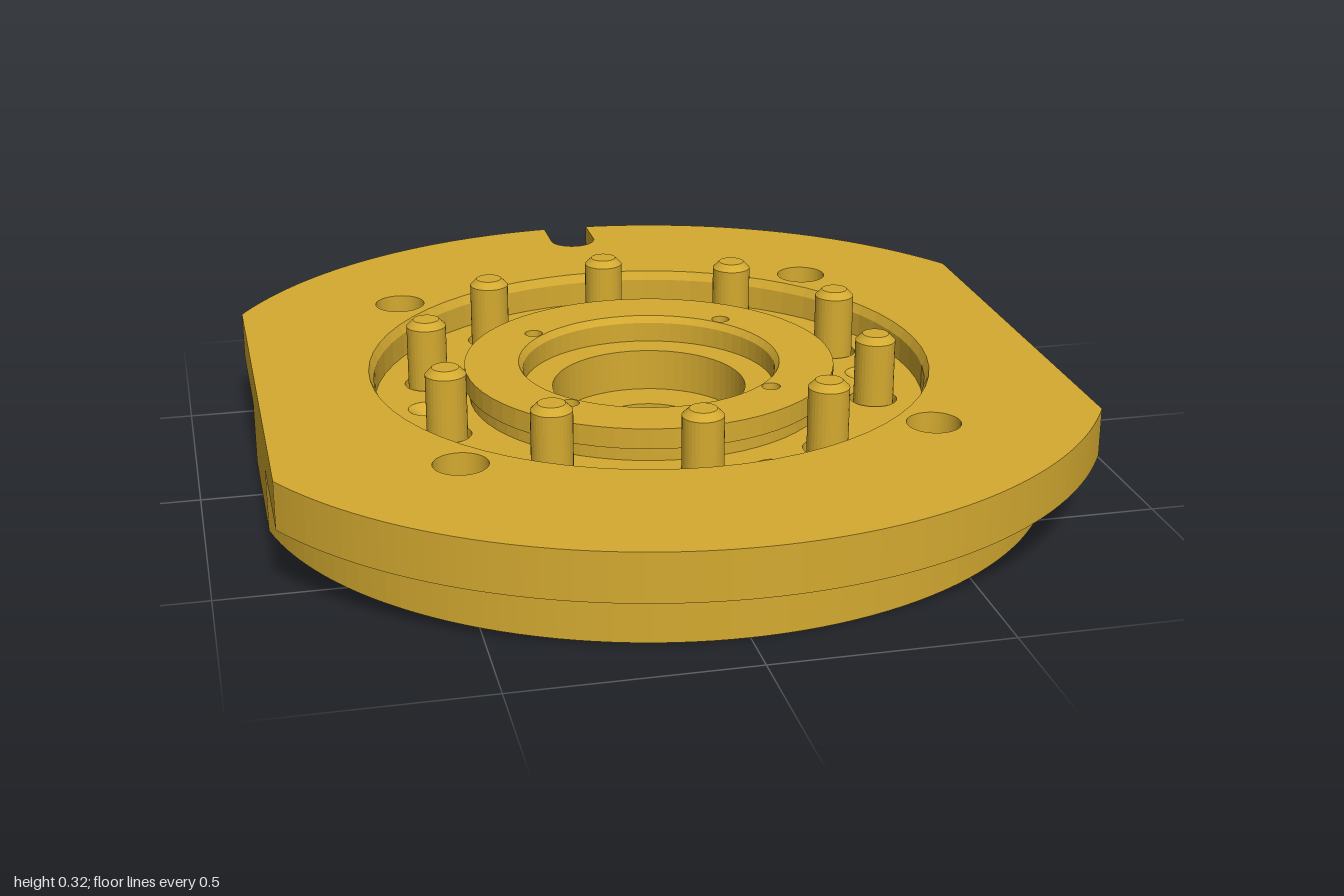
import * as THREE from 'three';

const brass = new THREE.MeshStandardMaterial({ color: 0xd4aa30 });
brass.name = 'brass';

const SLOT = { half: 0.055, centre: 0.895 };
const FLAT = 0.866;

// Disc outline with two side flats and a round-ended slot at the back
function outline(radius) {
  const s = new THREE.Shape();
  const flat = Math.acos(FLAT / radius);
  const edge = Math.asin(SLOT.half / radius);
  const rim = radius * Math.cos(edge);
  const dip = rim < SLOT.centre ? Math.asin((SLOT.centre - rim) / SLOT.half) : 0;
  s.absarc(0, 0, radius, flat, Math.PI / 2 - edge, false);
  s.absarc(0, SLOT.centre, SLOT.half, -dip, -Math.PI + dip, true);
  s.absarc(0, 0, radius, Math.PI / 2 + edge, Math.PI - flat, false);
  s.absarc(0, 0, radius, Math.PI + flat, 2 * Math.PI - flat, false);
  s.closePath();
  return s;
}

function disc(radius) {
  return new THREE.Shape().absarc(0, 0, radius, 0, Math.PI * 2, false);
}

// Holes are given as [x, z, radius]
function drill(shape, holes) {
  for (const [x, z, r] of holes) {
    shape.holes.push(new THREE.Path().absarc(x, -z, r, 0, Math.PI * 2, true));
  }
  return shape;
}

function slab(shape, y0, y1, curveSegments = 32) {
  const g = new THREE.ExtrudeGeometry(shape, { depth: y1 - y0, bevelEnabled: false, curveSegments });
  return g.rotateX(-Math.PI / 2).translate(0, y0, 0);
}

// Turned part with crisp edges; profile runs anticlockwise in (radius, y)
function turned(profile, segments = 64) {
  const pts = profile.map(([r, y]) => new THREE.Vector2(r, y));
  const g = new THREE.LatheGeometry(pts, segments).toNonIndexed();
  g.computeVertexNormals();
  return g;
}

export function createModel() {
  const model = new THREE.Group();
  const add = (name, geometry, parent = model) => {
    const m = new THREE.Mesh(geometry, brass);
    m.name = name;
    parent.add(m);
    return m;
  };

  // Hole patterns
  const mounting = [];
  const bossHoles = [];
  for (const x of [-1, 1]) {
    for (const z of [-1, 1]) {
      mounting.push([x * 0.495, z * 0.495, 0.057]);
      bossHoles.push([x * 0.221, z * 0.221, 0.02]);
    }
  }
  const dowels = [[-0.155, -0.476, 0.038], [0.155, 0.476, 0.038]];
  const blind = [[0, -0.74, 0.066], [0, 0.74, 0.066]];
  const screws = [];
  for (let i = 0; i < 10; i++) {
    const a = i * Math.PI / 5;
    screws.push([0.5 * Math.sin(a), 0.5 * Math.cos(a)]);
  }
  const at = r => screws.map(([x, z]) => [x, z, r]);
  const dimples = [[-0.5, 0, 0.04], [0.5, 0, 0.04]];

  // Stepped body
  add('lowerPlate', slab(drill(outline(0.887),
    [[0, 0, 0.37], ...mounting, ...dowels, ...blind, ...at(0.092)]), 0, 0.14));
  add('grooveFloor', slab(drill(outline(1),
    [[0, 0, 0.37], ...mounting, ...dowels, ...dimples, ...at(0.052)]), 0.14, 0.17));
  add('upperFlange', slab(drill(outline(1), [[0, 0, 0.62], ...mounting]), 0.17, 0.245));
  add('grooveLip', turned([[0.62, 0.17], [0.62, 0.245], [0.61, 0.225], [0.61, 0.17]]));

  // Central hub: bored seat above, flared opening below
  add('hub', turned([
    [0.12, 0.078], [0.127, 0.064], [0.14, 0.055], [0.165, 0.05],
    [0.37, 0.05], [0.37, 0.17], [0.4, 0.17], [0.4, 0.2],
    [0.215, 0.2], [0.215, 0.09], [0.12, 0.09], [0.12, 0.078],
  ].map(([r, y]) => [r, y === 0.2 ? 0.185 : y])));
  add('bossRing', slab(drill(disc(0.41), [[0, 0, 0.29], ...bossHoles]), 0.2, 0.245));
  add('bossNeck', turned([
    [0.29, 0.185], [0.4, 0.185], [0.4, 0.2], [0.29, 0.2],
  ]));
  add('bossLip', turned([
    [0.28, 0.185], [0.29, 0.185], [0.29, 0.245], [0.28, 0.23], [0.28, 0.185],
  ]));

  // Conical drill dimples in the groove
  for (const [x, z, r] of dimples) {
    add('drillDimple', turned([[r, 0.17], [0, 0.142]], 32)).position.set(x, 0, z);
  }

  // Socket-head screws, heads in the underside
  const headShape = disc(0.074);
  const hex = new THREE.Path();
  for (let i = 0; i < 6; i++) {
    const a = -i * Math.PI / 3;
    hex[i ? 'lineTo' : 'moveTo'](0.036 * Math.cos(a), 0.036 * Math.sin(a));
  }
  hex.closePath();
  headShape.holes.push(hex);
  const head = slab(headShape, 0.025, 0.08, 16);
  const headTop = new THREE.CylinderGeometry(0.074, 0.074, 0.06, 32).translate(0, 0.11, 0);
  const shank = turned([[0.044, 0.13], [0.044, 0.308], [0.029, 0.323], [0, 0.323]], 32);
  for (const [x, z] of screws) {
    const screw = new THREE.Group();
    screw.name = 'screw';
    screw.position.set(x, 0, z);
    add('screwHead', head, screw);
    add('screwHeadTop', headTop, screw);
    add('screwShank', shank, screw);
    model.add(screw);
  }
  return model;
}
